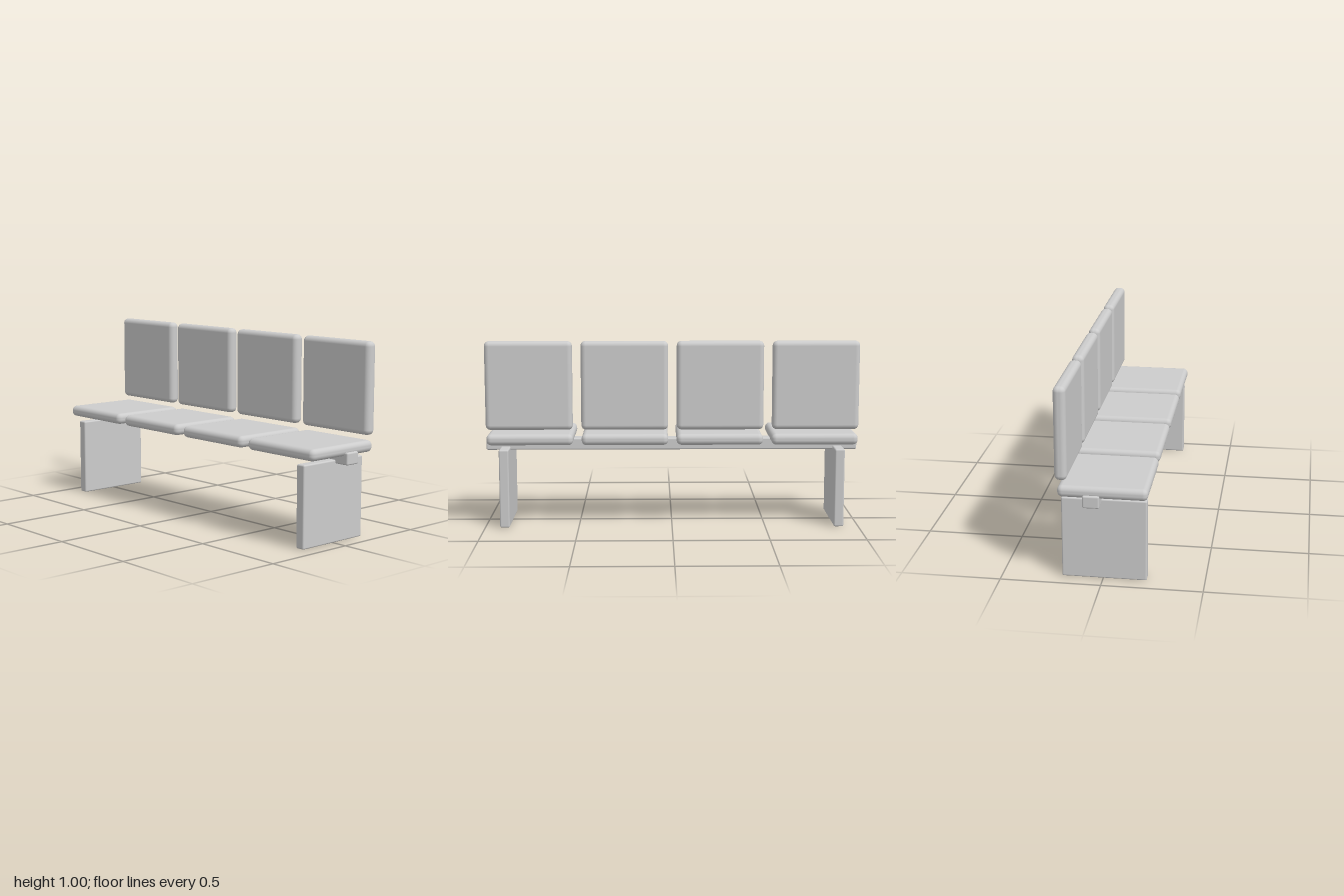
import * as THREE from 'three';
import { RoundedBoxGeometry } from 'three/addons/geometries/RoundedBoxGeometry.js';

export function createModel() {
  const group = new THREE.Group();
  const lightGrey = new THREE.MeshStandardMaterial({ color: 0xcccccc });
  lightGrey.name = 'lightGrey';

  // Rounded box given by its [min, max] extents on each axis
  function part(name, [x0, x1], [y0, y1], [z0, z1], radius) {
    const geometry = new RoundedBoxGeometry(x1 - x0, y1 - y0, z1 - z0, 3, radius);
    const mesh = new THREE.Mesh(geometry, lightGrey);
    mesh.name = name;
    mesh.position.set((x0 + x1) / 2, (y0 + y1) / 2, (z0 + z1) / 2);
    group.add(mesh);
  }

  // Four places, each a seat cushion and a floating back cushion
  for (let i = 0; i < 4; i++) {
    const x = -0.759 + i * 0.505;
    const width = [x - 0.23, x + 0.23];
    part('seat' + (i + 1), width, [0.445, 0.505], [-0.213, 0.227], 0.026);
    part('backrest' + (i + 1), width, [0.53, 1.0], [-0.225, -0.163], 0.026);
  }

  // Beam under the seats
  part('beam', [-1, 1], [0.402, 0.465], [-0.087, -0.005], 0.008);

  // Slab leg at each end
  for (const side of [-1, 1]) {
    const x = side * 0.895;
    part(side > 0 ? 'leftLeg' : 'rightLeg', [x - 0.026, x + 0.026], [0, 0.421], [-0.205, 0.216], 0.008);
  }

  return group;
}
